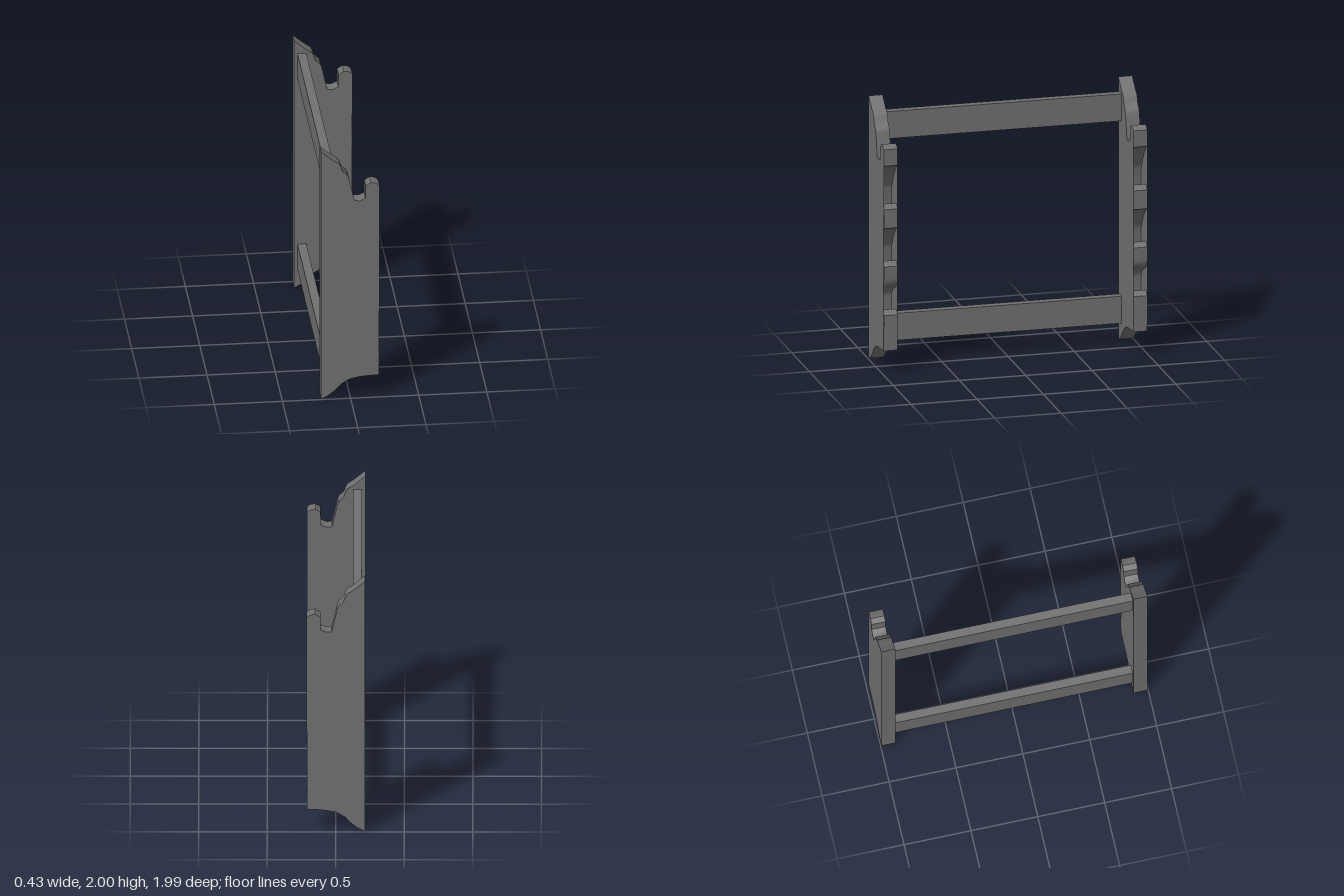
import * as THREE from 'three';
import { toCreasedNormals } from 'three/addons/utils/BufferGeometryUtils.js';

const material = new THREE.MeshStandardMaterial({ color: 0x707070, side: THREE.DoubleSide });
const PANEL_DEPTH = 0.105, PANEL_INNER = 0.89, EDGE = 0.213;

// Stepped top edge with an open hook, then the curved foot
const topEdge = [
  [-0.215, 2], [-0.12, 1.92], [-0.085, 1.9], [-0.07, 1.875], [-0.057, 1.835], [-0.02, 1.8], [-0.01, 1.77],
  [0.03, 1.595], [0.07, 1.592], [0.11, 1.61], [0.112, 1.71], [0.15, 1.735], [0.185, 1.73], [EDGE, 1.71],
];
const footEdge = [
  [0.21, 0.178], [0.13, 0.175], [0.06, 0.168], [-0.01, 0.153], [-0.07, 0.115],
  [-0.11, 0.07], [-0.16, 0.03], [-0.215, 0],
];

// One pocket in the front edge: curved roof, slot and rounded lip
function pocket(roofTop, roofBottom, lip, rounded = false) {
  const [controlA, controlB] = rounded
    ? [[EDGE, roofTop - 0.1], [0.04, roofBottom + 0.1]]
    : [[0.15, roofTop - 0.02], [0.09, roofBottom + 0.1]];
  const roof = new THREE.CubicBezierCurve(
    new THREE.Vector2(EDGE, roofTop), new THREE.Vector2(...controlA),
    new THREE.Vector2(...controlB), new THREE.Vector2(0.04, roofBottom),
  );
  const slot = lip - 0.14;
  return [
    ...roof.getPoints(10).map((p) => [p.x, p.y]),
    [0.035, slot], [0.07, slot - 0.003], [0.11, slot + 0.015], [0.112, lip - 0.025],
    [0.15, lip], [0.185, lip - 0.005], [EDGE, lip - 0.027],
  ];
}

const toShape = (points) => new THREE.Shape(points.map(([x, y]) => new THREE.Vector2(x, y)));

const cheekShape = toShape([...topEdge, ...footEdge]);
const wallShape = toShape([
  ...topEdge,
  ...pocket(1.585, 1.37, 1.28),
  ...pocket(1.11, 0.92, 0.845),
  ...pocket(0.72, 0.54, 0.475, true),
  ...footEdge,
]);

// Keep only the side walls of the extrusion; the cheeks close it
function wallGeometry() {
  const solid = new THREE.ExtrudeGeometry(wallShape, { depth: PANEL_DEPTH, bevelEnabled: false });
  const { start, count } = solid.groups[1];
  const walls = new THREE.BufferGeometry();
  const positions = solid.attributes.position.array.slice(start * 3, (start + count) * 3);
  walls.setAttribute('position', new THREE.BufferAttribute(positions, 3));
  return toCreasedNormals(walls, 0.6);
}

function addMesh(parent, name, geometry, x = 0, y = 0, z = 0) {
  const mesh = new THREE.Mesh(geometry, material);
  mesh.name = name;
  mesh.position.set(x, y, z);
  parent.add(mesh);
}

// Upright panel: notched walls between two full cheeks
function createPanel(name, z) {
  const panel = new THREE.Group();
  panel.name = name;
  panel.position.z = z;
  addMesh(panel, 'notchedWalls', wallGeometry());
  addMesh(panel, 'frontCheek', new THREE.ShapeGeometry(cheekShape), 0, 0, PANEL_DEPTH);
  // Reverse the corner order so the back cheek faces outward
  const back = new THREE.ShapeGeometry(cheekShape);
  back.index.array.reverse();
  back.computeVertexNormals();
  addMesh(panel, 'backCheek', back);
  return panel;
}

export function createModel() {
  const rack = new THREE.Group();
  rack.name = 'rack';
  rack.add(createPanel('frontPanel', PANEL_INNER));
  rack.add(createPanel('backPanel', -PANEL_INNER - PANEL_DEPTH));

  // Cross rails joining the panels
  for (const [name, y] of [['upperRail', 1.792], ['lowerRail', 0.252]]) {
    addMesh(rack, name, new THREE.BoxGeometry(0.065, 0.206, PANEL_INNER * 2), -0.157, y, 0);
  }
  return rack;
}
